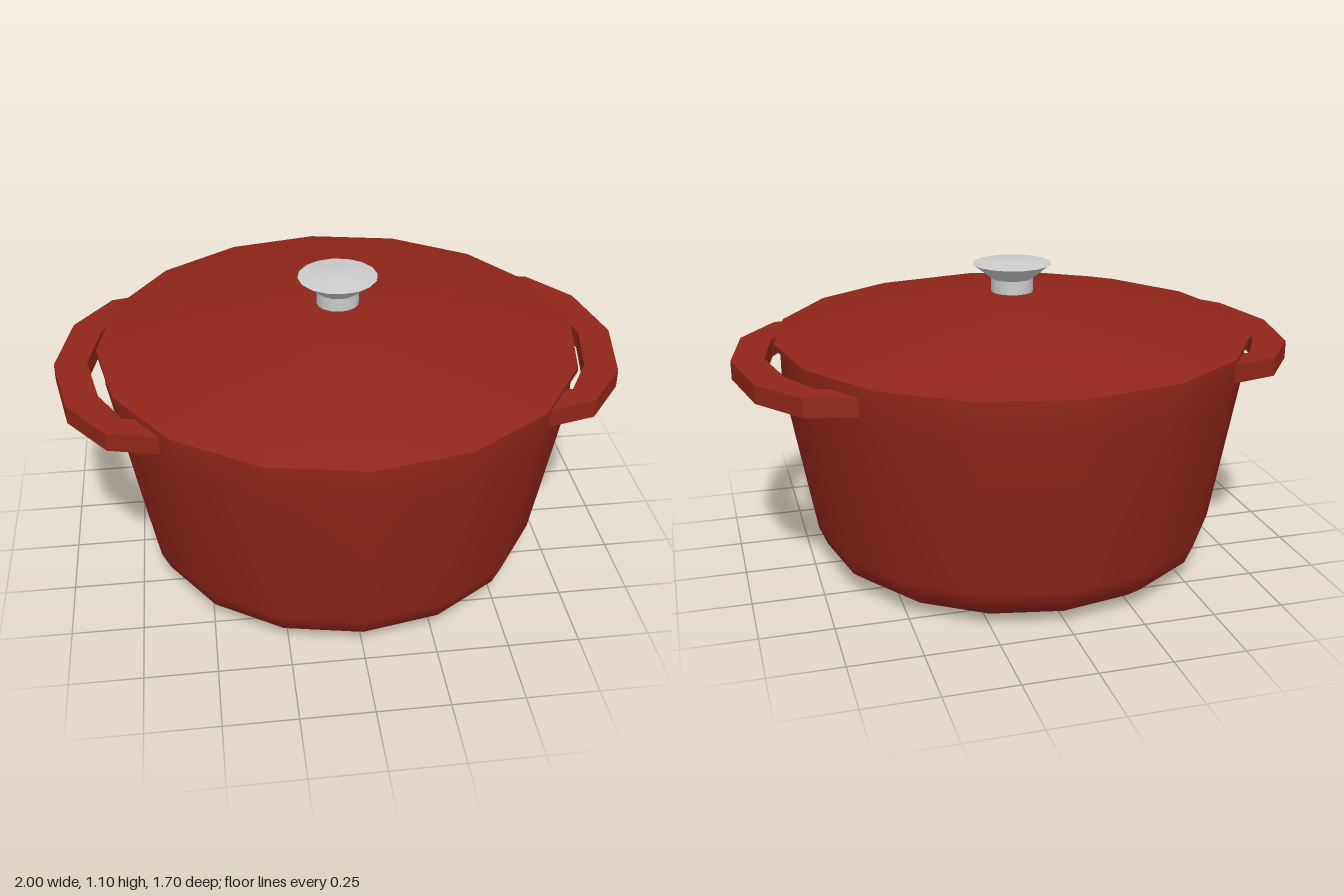
import * as THREE from 'three';

const SIDES = 16;
const enamel = new THREE.MeshStandardMaterial({ color: 0x902519 });
const steel = new THREE.MeshStandardMaterial({ color: 0xcccccc });

// Each profile is smooth in itself; edges stay sharp between profiles.
function turned(name, material, profiles) {
  const group = new THREE.Group();
  group.name = name;
  profiles.forEach((profile, i) => {
    const points = profile.map(([r, y]) => new THREE.Vector2(r, y));
    const mesh = new THREE.Mesh(new THREE.LatheGeometry(points, SIDES), material);
    mesh.name = `${name}Surface${i + 1}`;
    group.add(mesh);
  });
  return group;
}

// Half outline of a loop handle, mirrored in z and extruded upward.
function makeHandle(name, side) {
  const outer = [[1, 0], [0.945, 0.285], [0.81, 0.467], [0.64, 0.51]];
  const inner = [[0.64, 0.4], [0.755, 0.385], [0.84, 0.23], [0.885, 0]];
  const half = [...outer, ...inner];
  const mirrored = half.slice(1, -1).reverse().map(([x, z]) => [x, -z]);
  const outline = [...half, ...mirrored].map(([x, z]) => new THREE.Vector2(x, z));
  const geometry = new THREE.ExtrudeGeometry(new THREE.Shape(outline), { depth: 0.065, bevelEnabled: false });
  geometry.rotateX(-Math.PI / 2);
  if (side < 0) geometry.rotateY(Math.PI);
  geometry.translate(0, 0.735, 0);
  const mesh = new THREE.Mesh(geometry, enamel);
  mesh.name = name;
  return mesh;
}

export function createModel() {
  const model = new THREE.Group();
  model.name = 'casserole';

  // Hollow pot: outer wall, rim, inner wall
  model.add(turned('pot', enamel, [
    [[0, 0], [0.56, 0], [0.64, 0.03], [0.7, 0.075], [0.73, 0.145], [0.83, 0.705], [0.83, 0.83]],
    [[0.83, 0.83], [0.77, 0.83]],
    [[0.77, 0.83], [0.77, 0.705], [0.67, 0.15], [0.56, 0.06], [0, 0.06]],
  ]));

  // Domed lid: underside, rim edge, top
  model.add(turned('lid', enamel, [
    [[0, 0.93], [0.28, 0.91], [0.6, 0.86], [0.76, 0.83]],
    [[0.76, 0.83], [0.85, 0.83]],
    [[0.85, 0.83], [0.85, 0.848]],
    [[0.85, 0.848], [0.62, 0.906], [0.28, 0.963], [0.07, 0.982], [0, 0.982]],
  ]));

  // Knob: stem, flared underside, shallow cap
  model.add(turned('knob', steel, [
    [[0.075, 0.97], [0.075, 1.03]],
    [[0.075, 1.03], [0.14, 1.082]],
    [[0.14, 1.082], [0.045, 1.098], [0, 1.098]],
  ]));

  model.add(makeHandle('leftHandle', 1), makeHandle('rightHandle', -1));
  return model;
}
